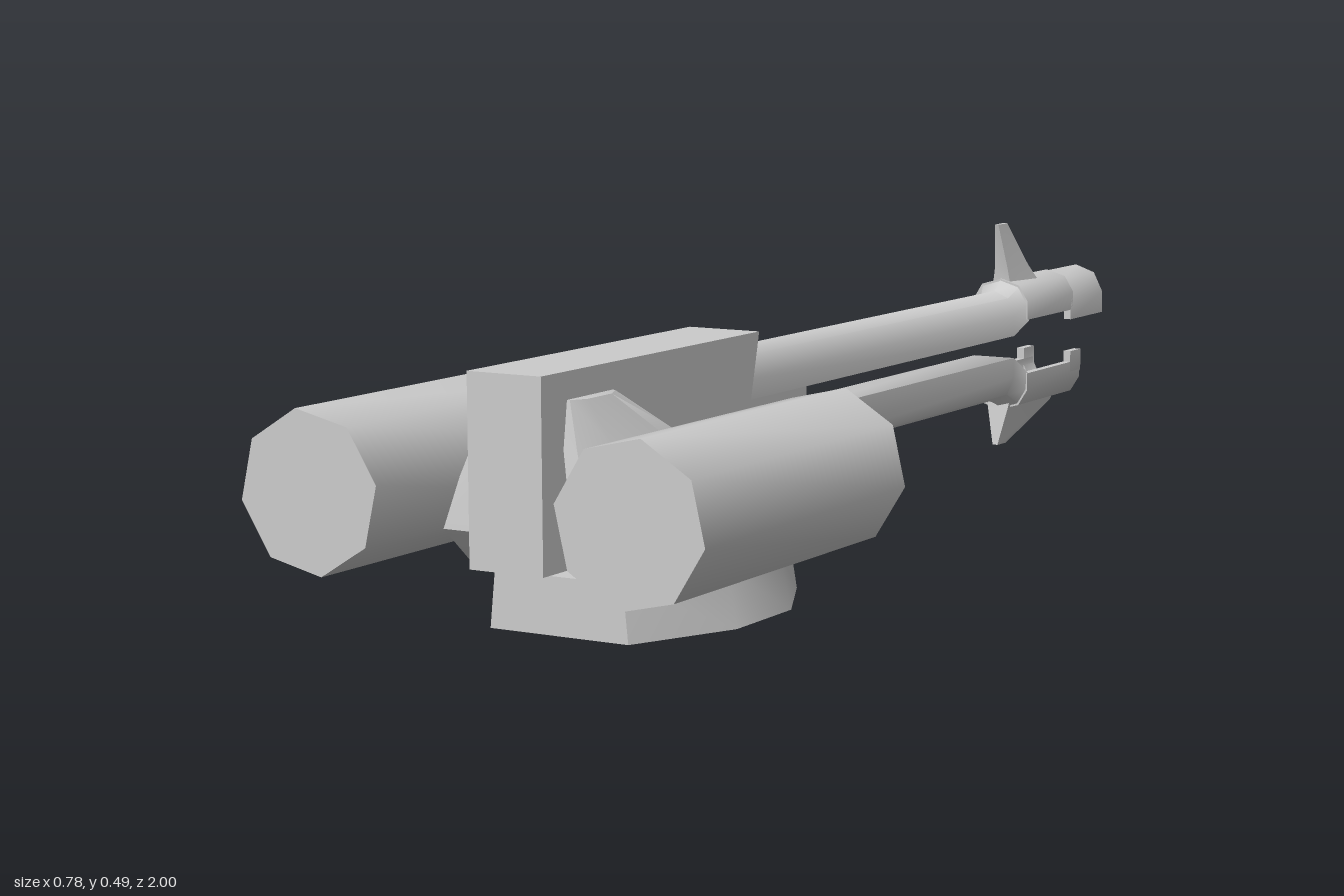
import * as THREE from 'three';
import { toCreasedNormals } from 'three/addons/utils/BufferGeometryUtils.js';

const grey = new THREE.MeshStandardMaterial({ color: 0xcccccc, side: THREE.DoubleSide });

function add(parent, name, geo, crease = 0.8) {
  const mesh = new THREE.Mesh(toCreasedNormals(geo.index ? geo.toNonIndexed() : geo, crease), grey);
  mesh.name = name;
  parent.add(mesh);
  return mesh;
}

// Skin a stack of closed outlines; the ends are fan-capped
function loft(sections, capStart = true, capEnd = true) {
  const n = sections[0].length, idx = [], last = sections.length - 1;
  for (let s = 0; s < last; s++) {
    for (let i = 0; i < n; i++) {
      const a = s * n + i, b = s * n + (i + 1) % n;
      idx.push(a, b, b + n, a, b + n, a + n);
    }
  }
  for (let i = 1; i < n - 1; i++) {
    if (capStart) idx.push(0, i + 1, i);
    if (capEnd) idx.push(last * n, last * n + i, last * n + i + 1);
  }
  const p = sections.flat();
  // Turn the faces outward if the enclosed volume is negative
  let volume = 0;
  for (let i = 0; i < idx.length; i += 3) {
    const [a, b, c] = [0, 1, 2].map(k => new THREE.Vector3(...p[idx[i + k]]));
    volume += a.dot(b.cross(c));
  }
  if (volume < 0) idx.reverse();
  const geo = new THREE.BufferGeometry();
  geo.setAttribute('position', new THREE.Float32BufferAttribute(p.flat(), 3));
  geo.setIndex(idx);
  return geo;
}

// Extrude an x-y outline from z0 to z1
function alongZ(points, z0, z1) {
  const shape = new THREE.Shape(points.map(([x, y]) => new THREE.Vector2(x, y)));
  return new THREE.ExtrudeGeometry(shape, { depth: z1 - z0, bevelEnabled: false }).translate(0, 0, z0);
}

// Half-round outline: flat at yFlat, rounded towards yRound
function halfRound(w, yFlat, yRound) {
  const h = yRound - yFlat;
  return [[-w, yFlat], [-w, yFlat + h * 0.45], [-w * 0.68, yFlat + h * 0.85], [0, yRound],
    [w * 0.68, yFlat + h * 0.85], [w, yFlat + h * 0.45], [w, yFlat]];
}

// Thin half-round shell
function arch(w, yFlat, yRound, t = 0.014) {
  const inner = halfRound(w - t, yFlat, yRound - Math.sign(yRound - yFlat) * t);
  return [...halfRound(w, yFlat, yRound), ...inner.reverse()];
}

const atZ = (outline, z) => outline.map(([x, y]) => [x, y, z]);
const blade = (y, z0, z1, w) => [[0, y, z0], [w, y, z0 * 0.7 + z1 * 0.3], [w * 0.7, y, z1],
  [-w * 0.7, y, z1], [-w, y, z0 * 0.7 + z1 * 0.3]];

export function createModel() {
  const model = new THREE.Group();
  model.name = 'gunTurret';

  // Hollow eight-sided base, open underneath
  const plan = (y, w, back, front) => {
    const half = [[0.62 * w, back], [w, back + 0.15], [w, front - 0.17], [0.6 * w, front]];
    return [...half, ...half.map(([x, z]) => [-x, z]).reverse()].map(([x, z]) => [x, y, z]);
  };
  add(model, 'base', loft([plan(0, 0.2, 0.29, 0.77), plan(0.088, 0.185, 0.3, 0.77)], false, true));

  // Yoke arms leaning forward: y, back, front, inner x at back, inner x, outer x
  const armLevels = [
    [0.085, 0.3, 0.77, 0.062, 0.093, 0.185],
    [0.163, 0.395, 0.87, 0.062, 0.08, 0.17],
    [0.24, 0.5, 0.86, 0.062, 0.078, 0.14],
    [0.29, 0.59, 0.85, 0.064, 0.066, 0.117],
    [0.36, 0.72, 0.84, 0.064, 0.066, 0.085],
  ];
  for (const [side, s] of [['left', 1], ['right', -1]]) {
    const sections = armLevels.map(([y, z0, z1, xb, xi, xo]) => {
      const d = z1 - z0;
      return [[xb, z0], [Math.max(xo * 0.7, xb + 0.005), z0], [xo, z0 + d * 0.28], [xo, z1 - d * 0.2],
        [Math.max(xo * 0.76, xi + 0.005), z1], [xi, z1], [xi, z0 + d * 0.25]].map(([x, z]) => [s * x, y, z]);
    });
    add(model, side + 'YokeArm', loft(sections));

    // Eight-sided side drum
    const drum = new THREE.CylinderGeometry(0.122, 0.122, 0.566, 8)
      .rotateX(Math.PI / 2).rotateZ(-s * 0.166).translate(s * 0.27, 0.223, 0.717);
    add(model, side + 'Drum', drum, 1);
  }

  // Breech block with a raked rear face, profile drawn in z-y
  const profile = [[0.9, 0.115], [0.9, 0.4], [0.3, 0.4], [0.37, 0.115]];
  add(model, 'breechBlock', loft([-0.063, 0.063].map(x => profile.map(([z, y]) => [x, y, z]))));

  // Twin half-round barrels flaring into the muzzles
  add(model, 'upperBarrel', loft([
    atZ(halfRound(0.04, 0.29, 0.37), 0.4),
    atZ(halfRound(0.04, 0.29, 0.37), -0.65),
    atZ(halfRound(0.055, 0.315, 0.39), -0.68),
  ]));
  add(model, 'lowerBarrel', loft([
    atZ(halfRound(0.04, 0.25, 0.17), 0.4),
    atZ(halfRound(0.04, 0.25, 0.17), -0.65),
    atZ(halfRound(0.055, 0.22, 0.15), -0.68),
  ]));
  add(model, 'barrelSpacer', new THREE.BoxGeometry(0.074, 0.05, 0.28).translate(0, 0.27, 0.245));

  // Upper muzzle shell with a longer lip and a sight fin
  add(model, 'upperMuzzle', alongZ(arch(0.055, 0.318, 0.39), -0.87, -0.675));
  add(model, 'upperMuzzleLip', alongZ(arch(0.055, 0.3, 0.388), -1, -0.86));
  add(model, 'sightFin', loft([
    blade(0.375, -0.83, -0.68, 0.026),
    blade(0.41, -0.785, -0.677, 0.018),
    blade(0.49, -0.7, -0.657, 0.005),
  ]));

  // Lower muzzle shell with a raised lip and a keel
  add(model, 'lowerMuzzle', alongZ(arch(0.055, 0.22, 0.15), -0.9, -0.675));
  add(model, 'lowerMuzzleLip', alongZ(arch(0.055, 0.24, 0.155), -0.905, -0.86));
  add(model, 'keel', loft([
    blade(0.175, -0.9, -0.67, 0.035),
    blade(0.152, -0.9, -0.667, 0.028),
    blade(0.087, -0.7, -0.657, 0.007),
  ]));

  return model;
}
